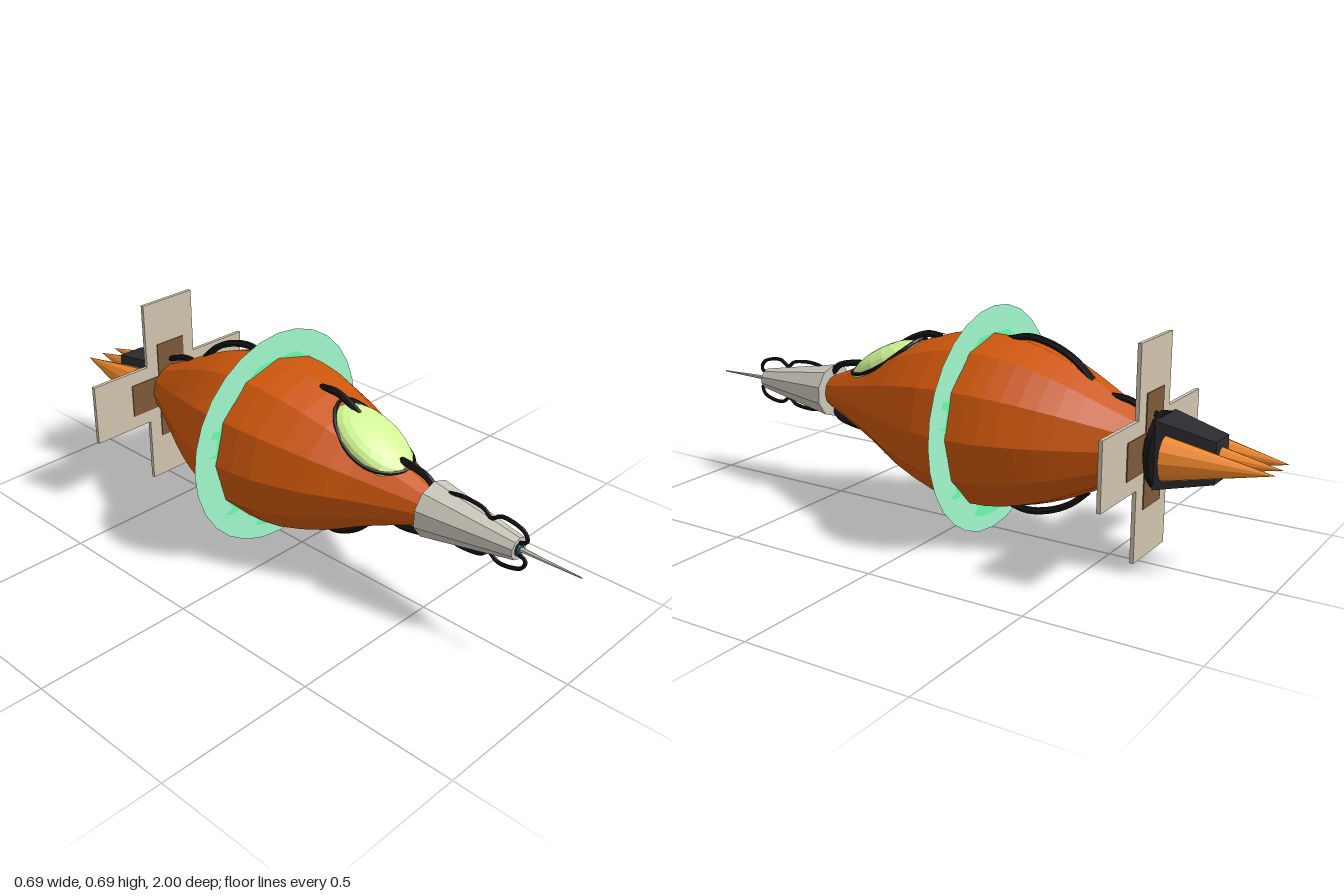
import * as THREE from 'three';

const AXIS = 0.35; // height of the long axis

const paint = (color, extra = {}) =>
  new THREE.MeshStandardMaterial({ color, flatShading: true, ...extra });

export function createModel() {
  const model = new THREE.Group();
  const hull = paint(0xcc560c), flame = paint(0xf28a2c), black = paint(0x141414);
  const dark = paint(0x2c2c30), metal = paint(0xcac6ba), plate = paint(0xd0c4ae);
  const brown = paint(0x7c5a38), glass = paint(0xd2f896), teal = paint(0x1f6f78);
  const ringMat = paint(0xa0f8cc, { side: THREE.DoubleSide });
  const glowMat = paint(0x6cfbac, { side: THREE.DoubleSide });

  const add = (name, geometry, material, x = 0, y = AXIS, z = 0) => {
    const mesh = new THREE.Mesh(geometry, material);
    mesh.name = name;
    mesh.position.set(x, y, z);
    model.add(mesh);
    return mesh;
  };
  // Cylinder along z: front radius, back radius, back z, front z
  const barrel = (name, rFront, rBack, zBack, zFront, sides, material) =>
    add(name, new THREE.CylinderGeometry(rFront, rBack, zFront - zBack, sides).rotateX(Math.PI / 2),
      material, 0, AXIS, (zBack + zFront) / 2);

  // Twelve-sided spindle hull, profile as [radius, z]
  const profile = new THREE.SplineCurve([
    [0.07, -0.64], [0.09, -0.59], [0.135, -0.5], [0.186, -0.4], [0.228, -0.3], [0.256, -0.2], [0.265, -0.1],
    [0.252, 0.03], [0.198, 0.19], [0.142, 0.3], [0.093, 0.41], [0.05, 0.515],
  ].map(([r, z]) => new THREE.Vector2(r, z))).getPoints(22);
  add('hull', new THREE.LatheGeometry(profile, 12).rotateX(Math.PI / 2), hull);

  // Thin ring at the widest point, with a brighter ragged patch on each face
  const ringZ = -0.1;
  add('ring', new THREE.RingGeometry(0.24, 0.347, 28), ringMat, 0, AXIS, ringZ);
  const right = [[0, 0.266], [0.08, 0.264], [0.17, 0.2], [0.235, 0.11], [0.275, 0.113], [0.28, 0.095],
    [0.255, 0.085], [0.262, 0.04], [0.293, 0.036], [0.262, 0.026], [0.25, -0.06], [0.205, -0.175],
    [0.235, -0.182], [0.215, -0.195], [0.16, -0.19], [0.09, -0.255], [0.11, -0.275], [0.07, -0.292], [0, -0.299]];
  const left = right.slice(1, -1).reverse().map(([x, y]) => [-x, y]);
  const patch = new THREE.Shape([...right, ...left].map(([x, y]) => new THREE.Vector2(x, y)));
  patch.holes.push(new THREE.Path().absarc(0, 0, 0.235, 0, Math.PI * 2));
  for (const side of [-1, 1])
    add('ringGlow', new THREE.ShapeGeometry(patch), glowMat, 0, AXIS, ringZ + side * 0.0015);

  // Cross-shaped tail fins with thicker inner pads
  for (const turn of [0, Math.PI / 2]) {
    add('tailFin', new THREE.BoxGeometry(0.63, 0.2, 0.012), plate, 0, AXIS, -0.617).rotation.z = turn;
    add('finPad', new THREE.BoxGeometry(0.335, 0.11, 0.018), brown, 0, AXIS, -0.617).rotation.z = turn;
  }

  // Nose nozzle, its opening and needle
  barrel('nozzle', 0.034, 0.087, 0.512, 0.805, 10, metal);
  barrel('nozzleOpening', 0.022, 0.022, 0.79, 0.807, 10, dark);
  barrel('nozzleCore', 0.014, 0.018, 0.8, 0.812, 8, teal);
  barrel('needle', 0.002, 0.008, 0.8, 1.0, 6, metal);

  // Tilted cockpit dome, with a rim following the hull
  const dome = add('cockpit', new THREE.SphereGeometry(1, 18, 12), glass, 0, 0.476, 0.288);
  dome.scale.set(0.096, 0.051, 0.149);
  dome.rotation.x = 0.49;
  const rim = [];
  for (let i = 0; i < 20; i++) {
    const t = i / 20 * Math.PI * 2, s = Math.sin(t), c = Math.cos(t);
    rim.push(new THREE.Vector3(0.095 * s, 0.502 - 0.065 * c - 0.036 * s * s, 0.289 + 0.128 * c));
  }
  add('cockpitRim', new THREE.TubeGeometry(new THREE.CatmullRomCurve3(rim, true), 40, 0.006, 5, true),
    black, 0, 0, 0);

  // Cables along the top and bottom, points as [z, distance from axis]
  const cables = [
    [0.011, [[0.53, 0.05], [0.49, 0.088], [0.45, 0.1], [0.4, 0.106], [0.36, 0.1]]],
    [0.011, [[0.29, 0.135], [0.25, 0.178], [0.2, 0.212], [0.14, 0.234], [0.08, 0.23]]],
    [0.011, [[-0.15, 0.252], [-0.22, 0.267], [-0.3, 0.252], [-0.37, 0.218], [-0.43, 0.165]]],
    [0.01, [[-0.49, 0.13], [-0.54, 0.127], [-0.6, 0.105], [-0.65, 0.09]]],
    [0.006, [[0.8, 0.016], [0.828, 0.03], [0.82, 0.055], [0.785, 0.07], [0.74, 0.072], [0.71, 0.054],
      [0.685, 0.072], [0.63, 0.08], [0.6, 0.079], [0.565, 0.072]]],
  ];
  for (const side of [1, -1])
    for (const [radius, points] of cables) {
      const path = new THREE.CatmullRomCurve3(points.map(([z, d]) => new THREE.Vector3(0, side * d, z)));
      add(side > 0 ? 'topCable' : 'bottomCable',
        new THREE.TubeGeometry(path, points.length * 4, radius, 6), black);
    }

  // Rear collar and the tapered block between the exhaust cones
  barrel('collar', 0.075, 0.1, -0.645, -0.625, 12, dark);
  barrel('collarRim', 0.112, 0.112, -0.658, -0.643, 12, black);
  const block = new THREE.CylinderGeometry(Math.SQRT1_2, Math.SQRT1_2, 1, 4).rotateY(Math.PI / 4).rotateX(Math.PI / 2);
  const corners = block.attributes.position;
  for (let i = 0; i < corners.count; i++) {
    const back = corners.getZ(i) < 0;
    corners.setXYZ(i, corners.getX(i) * (back ? 0.09 : 0.14), corners.getY(i) * (back ? 0.12 : 0.2),
      back ? -0.825 : -0.655);
  }
  add('rearBlock', block, dark);

  // Three exhaust cones, the outer pair leaning inwards
  for (const i of [-1, 0, 1]) {
    const cone = new THREE.ConeGeometry(0.065, 0.305, 12).rotateX(-Math.PI / 2);
    const mesh = add('exhaustCone', cone, flame, i * 0.066, AXIS, -0.843);
    mesh.scale.x = 0.82;
    mesh.rotation.y = i * 0.07;
  }
  return model;
}
